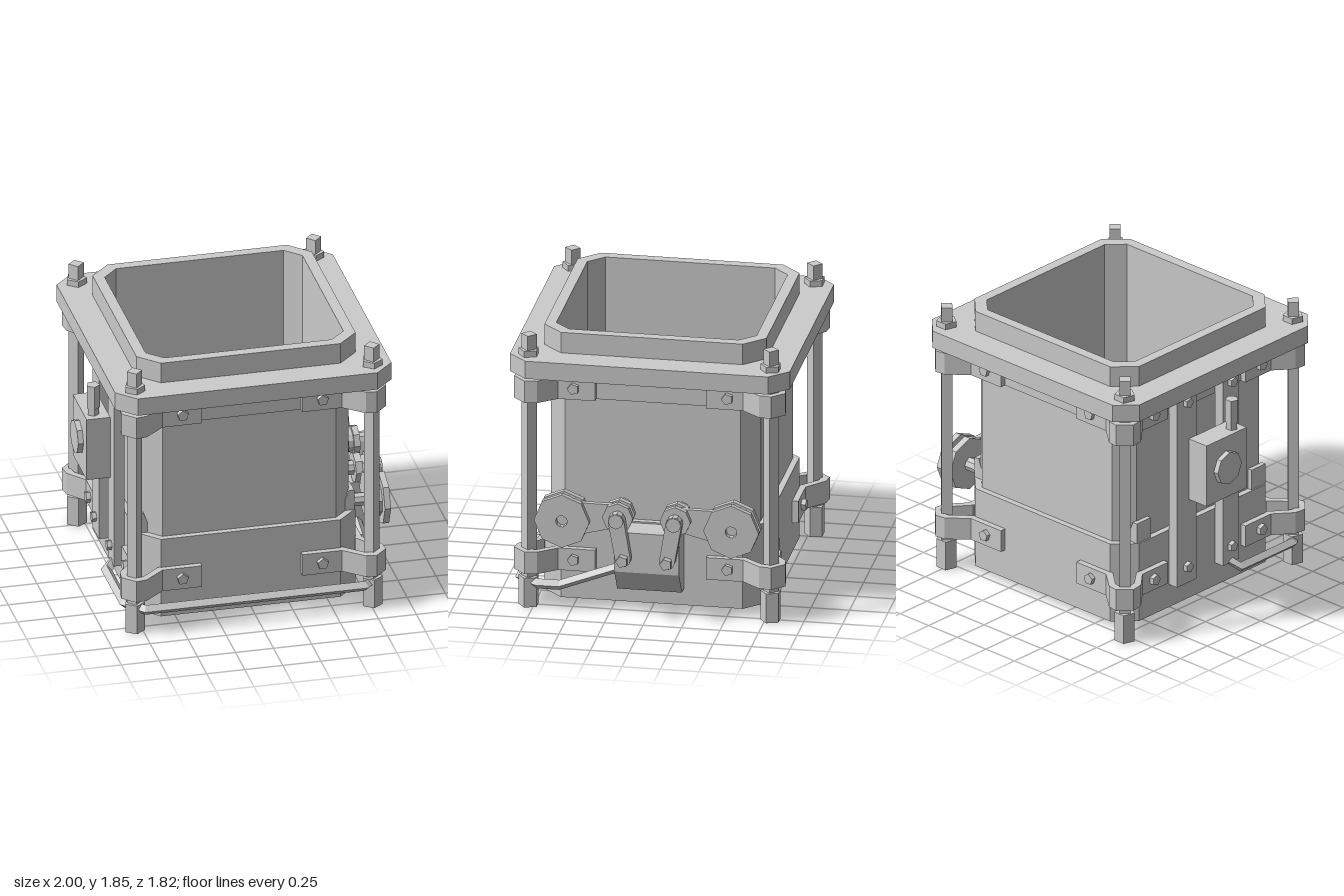
import * as THREE from 'three';

const mat = new THREE.MeshStandardMaterial({ color: 0xcccccc, flatShading: true, side: THREE.DoubleSide });
const SIGNS = [-1, 1];

function add(parent, name, geo, x = 0, y = 0, z = 0) {
  const m = new THREE.Mesh(geo, mat);
  m.name = name;
  m.position.set(x, y, z);
  parent.add(m);
  return m;
}
const poly = (pts) => pts.map(([x, y]) => new THREE.Vector2(x, y));
const extrude = (shape, depth) => new THREE.ExtrudeGeometry(shape, { depth, bevelEnabled: false });

// Square with cut corners
const cutSquare = (h, c) => poly([[h, h - c], [h - c, h], [c - h, h], [-h, h - c], [-h, c - h], [c - h, -h], [h - c, -h], [h, c - h]]);

// Hollow square frame between two heights
function frame(parent, name, outer, oc, inner, ic, y0, y1) {
  const s = new THREE.Shape(cutSquare(outer, oc));
  s.holes.push(new THREE.Path(cutSquare(inner, ic)));
  return add(parent, name, extrude(s, y1 - y0).rotateX(-Math.PI / 2), 0, y0, 0);
}

// Prisms standing along y, along x from x0 to x1, or along z
const prismY = (p, name, r, n, x, y0, y1, z) =>
  add(p, name, new THREE.CylinderGeometry(r, r, y1 - y0, n), x, (y0 + y1) / 2, z);
const prismX = (p, name, r, n, x0, x1, y, z) =>
  add(p, name, new THREE.CylinderGeometry(r, r, x1 - x0, n).rotateZ(-Math.PI / 2), (x0 + x1) / 2, y, z);
const prismZ = (p, name, r, n, x, y, z0, z1) =>
  add(p, name, new THREE.CylinderGeometry(r, r, z1 - z0, n).rotateX(-Math.PI / 2), x, y, (z0 + z1) / 2);
const block = (p, name, x0, x1, y0, y1, z0, z1) =>
  add(p, name, new THREE.BoxGeometry(x1 - x0, y1 - y0, z1 - z0), (x0 + x1) / 2, (y0 + y1) / 2, (z0 + z1) / 2);

// Plate around two circles (z, y, radius), thickened from x0 to x1
function link(p, name, [za, ya, ra], [zb, yb, rb], x0, x1) {
  const ang = Math.atan2(yb - ya, za - zb);
  const t = Math.acos((ra - rb) / Math.hypot(zb - za, yb - ya));
  const pts = [];
  const arc = (z, y, r, a, b) => {
    for (let i = 0; i <= 5; i++) {
      const k = a + (b - a) * i / 5;
      pts.push([-z + r * Math.cos(k), y + r * Math.sin(k)]);
    }
  };
  arc(zb, yb, rb, ang - t, ang + t);
  arc(za, ya, ra, ang + t, ang + 2 * Math.PI - t);
  add(p, name, extrude(new THREE.Shape(poly(pts)), x1 - x0).rotateY(Math.PI / 2), x0);
}

// Eight-sided disc with a centre hole
function disc(p, name, r, hole, x0, x1, y, z) {
  const ring = (rad, n) => poly(Array.from({ length: n }, (_, i) =>
    [rad * Math.cos(i * 2 * Math.PI / n), rad * Math.sin(i * 2 * Math.PI / n)]));
  const s = new THREE.Shape(ring(r, 8));
  s.holes.push(new THREE.Path(ring(hole, 10)));
  add(p, name, extrude(s, x1 - x0).rotateY(Math.PI / 2), x0, y, z);
}

// Diamond-section pipe swept along a path with mitred bends
function diamondPipe(path, r) {
  const pos = [], idx = [];
  const pts = path.map((a) => new THREE.Vector3(...a));
  const side = (a, b) => new THREE.Vector3(b.z - a.z, 0, a.x - b.x).normalize();
  pts.forEach((p, i) => {
    const n0 = side(pts[Math.max(i - 1, 0)], pts[Math.max(i, 1)]);
    const n1 = side(pts[Math.min(i, pts.length - 2)], pts[Math.min(i + 1, pts.length - 1)]);
    const m = n0.clone().add(n1).normalize();
    m.multiplyScalar(r / m.dot(n0));
    pos.push(p.x, p.y + r, p.z, p.x + m.x, p.y, p.z + m.z, p.x, p.y - r, p.z, p.x - m.x, p.y, p.z - m.z);
    if (i) for (let k = 0; k < 4; k++) {
      const a = (i - 1) * 4 + k, b = (i - 1) * 4 + (k + 1) % 4;
      idx.push(a, a + 4, b, b, a + 4, b + 4);
    }
  });
  const e = (pts.length - 1) * 4;
  idx.push(0, 1, 2, 0, 2, 3, e, e + 2, e + 1, e, e + 3, e + 2);
  const g = new THREE.BufferGeometry();
  g.setAttribute('position', new THREE.Float32BufferAttribute(pos, 3));
  g.setIndex(idx);
  g.computeVertexNormals();
  return g;
}

export function createModel() {
  const root = new THREE.Group();
  root.name = 'squareHousing';
  root.position.set(-0.02, 0, -0.003);

  // Hollow square body
  frame(root, 'lowerBody', 0.72, 0.13, 0.68, 0.115, 0.04, 0.59);
  frame(root, 'middleBody', 0.68, 0.11, 0.65, 0.1, 0.56, 1.44);
  frame(root, 'upperCollar', 0.72, 0.13, 0.65, 0.1, 1.41, 1.85);
  frame(root, 'topFlange', 0.908, 0.12, 0.70, 0.12, 1.59, 1.71);

  // Strap outline around one corner: along the z face, round the rod, along the x face
  const strap = [[0.33, 0.76], [0.59, 0.76], [0.72, 0.87], [0.79, 0.88], [0.87, 0.80], [0.86, 0.72], [0.76, 0.60], [0.76, 0.36],
    [0.715, 0.36], [0.715, 0.61], [0.81, 0.73], [0.815, 0.78], [0.77, 0.825], [0.73, 0.82], [0.61, 0.715], [0.33, 0.715]];

  for (const sx of SIGNS) for (const sz of SIGNS) {
    const corner = new THREE.Group();
    corner.name = 'cornerTie';
    root.add(corner);
    const x = 0.78 * sx, z = 0.785 * sz;
    // Tie rod with foot and nut
    prismY(corner, 'tieRod', 0.05, 4, x, 0.1, 1.85, z);
    prismY(corner, 'foot', 0.068, 5, x, 0, 0.2, z);
    prismY(corner, 'nut', 0.068, 5, x, 1.71, 1.75, z);
    // Corner brackets with bolts
    for (const y of [0.24, 1.41]) {
      const s = new THREE.Shape(poly(strap.map(([a, b]) => [a * sx, -b * sz])));
      add(corner, 'cornerBracket', extrude(s, 0.15).rotateX(-Math.PI / 2), 0, y, 0);
      const yb = y + 0.08;
      prismZ(corner, 'bracketBolt', 0.038, 5, 0.46 * sx, yb, 0.765 * sz - 0.025, 0.765 * sz + 0.025);
      prismX(corner, 'bracketBolt', 0.038, 5, 0.765 * sx - 0.025, 0.765 * sx + 0.025, yb, 0.5 * sz);
    }
    // Sloped locating tab at the seam
    const tab = new THREE.Shape(poly([[0.645, 0.5], [0.71, 0.5], [0.71, 0.73], [0.675, 0.73], [0.645, 0.65]].map(([a, b]) => [a * sx, b])));
    add(corner, 'locatingTab', extrude(tab, 0.13), 0, 0, 0.535 * sz - 0.065);
  }

  // Side casing with a sloped underside
  const casing = new THREE.Shape(poly([[0.70, 0.155], [0.80, 0.155], [0.905, 0.31], [0.905, 0.58], [0.70, 0.58]]));
  add(root, 'sideCasing', extrude(casing, 0.42), 0, 0, -0.21);

  // Pulley drives, one each side of the casing
  for (const s of SIGNS) {
    const drive = new THREE.Group();
    drive.name = 'pulleyDrive';
    root.add(drive);
    const zb = 0.55 * s, yb = 0.635, zs = 0.187 * s, ys = 0.68;
    for (const [x0, x1] of [[0.80, 0.845], [0.88, 0.92]]) {
      disc(drive, 'largePulley', 0.18, 0.038, x0, x1, yb, zb);
      disc(drive, 'smallPulley', 0.1, 0.038, x0, x1, ys, zs);
    }
    prismX(drive, 'largeAxle', 0.045, 8, 0.66, 0.88, yb, zb);
    prismX(drive, 'smallAxle', 0.05, 8, 0.66, 0.985, ys, zs);
    link(drive, 'belt', [zb, yb, 0.12], [zs, ys, 0.075], 0.845, 0.88);
    link(drive, 'crankArm', [zs, ys, 0.052], [0.143 * s, 0.42, 0.05], 0.92, 0.975);
    prismX(drive, 'crankBolt', 0.04, 5, 0.90, 1.02, 0.42, 0.143 * s);
  }

  // Mounting strips and control box on the opposite side
  for (const [z0, z1] of [[-0.31, -0.13], [0.12, 0.27]]) {
    block(root, 'mountingStrip', -0.79, -0.72, 0.2, 1.57, z0, z1);
    for (const y of [0.32, 1.49]) prismX(root, 'stripBolt', 0.035, 5, -0.82, -0.77, y, (z0 + z1) / 2);
  }
  block(root, 'controlBox', -0.945, -0.79, 0.79, 1.22, -0.2, 0.175);
  prismX(root, 'controlKnob', 0.112, 8, -0.98, -0.93, 1.01, -0.02);
  prismY(root, 'plugBase', 0.038, 5, -0.885, 1.2, 1.28, 0.1);
  prismY(root, 'plug', 0.045, 5, -0.885, 1.27, 1.43, 0.1);

  // Pipe from the casing round the front to the mounting strip
  const path = [[0.82, 0.32, 0.17], [0.83, 0.165, 0.58], [0.83, 0.165, 0.72], [0.72, 0.165, 0.85],
    [-0.72, 0.165, 0.85], [-0.83, 0.165, 0.72], [-0.83, 0.165, 0.24], [-0.76, 0.22, 0.19]];
  add(root, 'frontPipe', diamondPipe(path, 0.034));

  return root;
}
